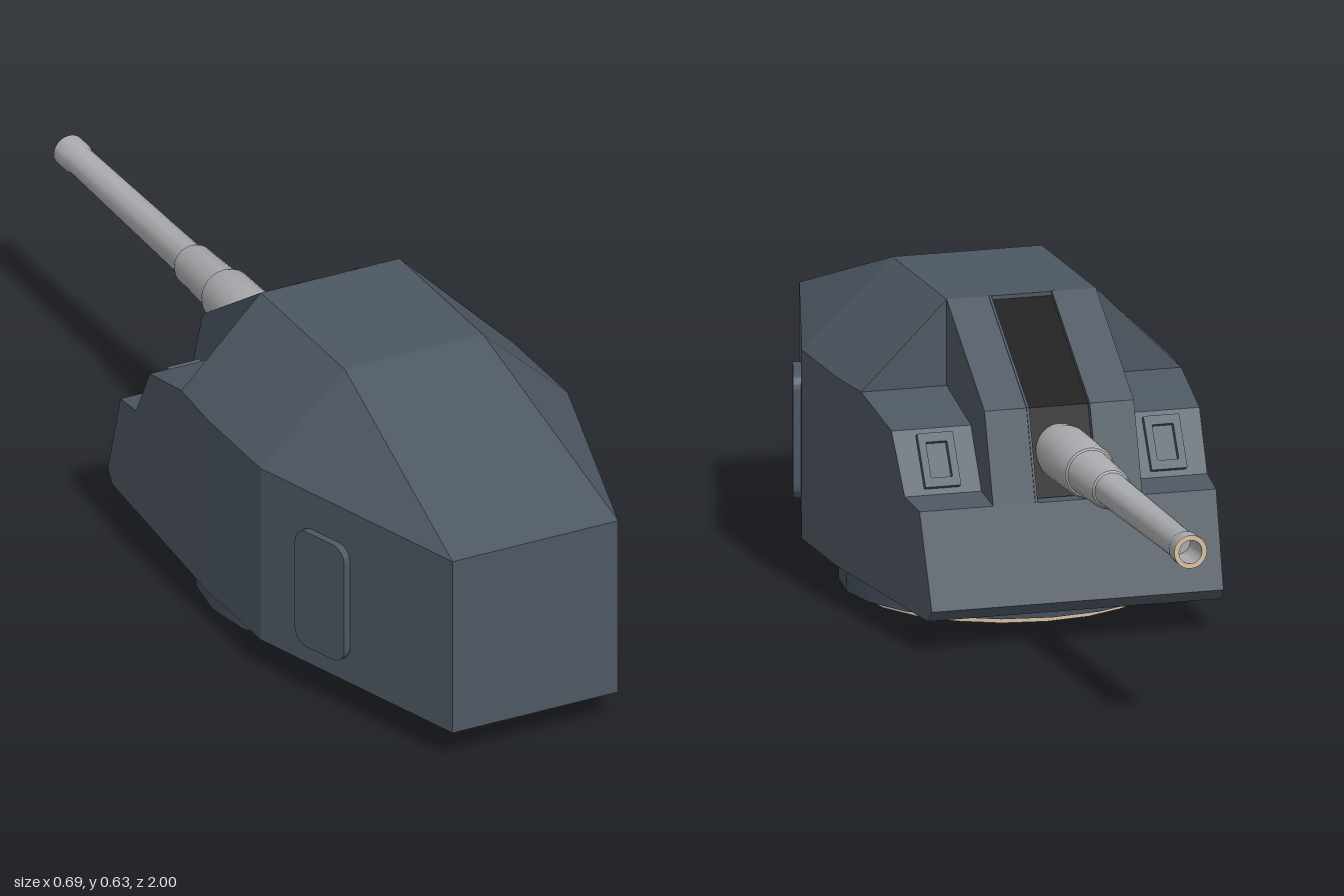
import * as THREE from 'three';
import { toCreasedNormals } from 'three/addons/utils/BufferGeometryUtils.js';

const mat = (name, color) => new THREE.MeshStandardMaterial({ name, color });

// Extrudes a [z, y] profile across x; xAt(w, z, y) gives x for w = 0 or 1.
function prism(profile, xAt) {
  const shape = new THREE.Shape(profile.map(([z, y]) => new THREE.Vector2(-z, y)));
  const geo = new THREE.ExtrudeGeometry(shape, { depth: 1, bevelEnabled: false });
  geo.rotateY(Math.PI / 2);
  const p = geo.attributes.position;
  for (let i = 0; i < p.count; i++) {
    p.setX(i, xAt(Math.round(p.getX(i)), p.getZ(i), p.getY(i)));
  }
  geo.computeVertexNormals();
  return geo;
}

// Half width of the gunhouse: plan outline below, narrow flat roof above.
function halfWidth(z, y) {
  if (y > 0.5) return 0.155;
  if (z > 0.48) return 0.343 - (z - 0.48) / 0.52 * 0.158;
  if (z > 0.25) return 0.343;
  return 0.343 - (0.25 - z) / 0.5 * 0.04;
}

function roundedRect(w, h, r) {
  const s = new THREE.Shape();
  const a = w / 2 - r, b = h / 2 - r;
  s.absarc(a, b, r, 0, Math.PI / 2);
  s.absarc(-a, b, r, Math.PI / 2, Math.PI);
  s.absarc(-a, -b, r, Math.PI, Math.PI * 1.5);
  s.absarc(a, -b, r, Math.PI * 1.5, Math.PI * 2);
  return s;
}

export function createModel() {
  const armour = mat('armour grey', 0x4d5762);
  const ringGrey = mat('ring grey', 0x454e5a);
  const steel = mat('barrel steel', 0xa9aaad);
  const black = mat('slot black', 0x060606);
  const tan = mat('tan metal', 0xdabfa3);
  tan.side = THREE.DoubleSide;

  const model = new THREE.Group();
  model.name = 'gunTurret';
  const add = (name, geo, material, parent = model) => {
    const mesh = new THREE.Mesh(geo, material);
    mesh.name = name;
    parent.add(mesh);
    return mesh;
  };

  // Gunhouse, in pieces that share the width rule
  const house = {
    gunSideHull: [[0.25, 0.066], [0.25, 0.452], [0.12, 0.452], [-0.04, 0.41],
      [-0.11, 0.292], [-0.188, 0.28], [-0.253, 0.09], [-0.23, 0.066]],
    middleHull: [[0.25, 0.066], [0.48, 0.066], [0.48, 0.452], [0.25, 0.452]],
    taperedHull: [[0.48, 0.066], [1, 0.066], [1, 0.452], [0.48, 0.452]],
    flatRoof: [[0.12, 0.452], [0.25, 0.452], [0.48, 0.452], [0.48, 0.628], [0.12, 0.628]],
    slopedRoof: [[0.48, 0.452], [1, 0.452], [0.48, 0.628]],
  };
  for (const [name, profile] of Object.entries(house)) {
    add(name, prism(profile, (w, z, y) => (w * 2 - 1) * halfWidth(z, y)), armour);
  }

  // Cheeks beside the gun slot, with a fine raised rim along the slot
  const cheek = [[0.12, 0.628], [-0.13, 0.46], [-0.188, 0.28], [0.12, 0.28]];
  const rim = [[0.12, 0.63], [-0.132, 0.461], [-0.19, 0.28], [0.12, 0.28]];
  for (const s of [-1, 1]) {
    const side = s > 0 ? 'left' : 'right';
    const lo = s > 0 ? 0 : 1;
    add(side + 'Cheek', prism(cheek, w => s * (0.065 + Math.abs(w - lo) * 0.09)), armour);
    add(side + 'SlotRim', prism(rim, w => s * (0.063 + Math.abs(w - lo) * 0.005)), armour);
  }
  add('gunSlot', prism([[0.119, 0.62], [-0.12, 0.457], [-0.174, 0.285], [0.119, 0.285]],
    w => (w * 2 - 1) * 0.064), black);

  // Framed sight ports on the steep shoulder faces, and side doors
  const frame = roundedRect(0.074, 0.112, 0.002);
  frame.holes.push(roundedRect(0.044, 0.074, 0.002));
  const frameGeo = new THREE.ExtrudeGeometry(frame, { depth: 0.024, bevelEnabled: false, curveSegments: 1 });
  frameGeo.translate(0, 0, -0.012);
  const doorGeo = toCreasedNormals(new THREE.ExtrudeGeometry(
    roundedRect(0.14, 0.258, 0.032), { depth: 0.026, bevelEnabled: false, curveSegments: 5 }), 0.6);
  const doorZ = 0.655;
  for (const s of [-1, 1]) {
    const side = s > 0 ? 'left' : 'right';
    const port = add(side + 'PortFrame', frameGeo, armour);
    port.position.set(s * 0.235, 0.351, -0.075);
    port.rotation.x = Math.atan2(0.07, 0.118);

    const door = add(side + 'Door', doorGeo, armour);
    const angle = s * Math.atan2(0.52, 0.158);
    door.rotation.y = angle;
    door.position.set(s * halfWidth(doorZ, 0) - Math.sin(angle) * 0.01, 0.242, doorZ - Math.cos(angle) * 0.01);
  }

  // Turning ring and the thin rim below it
  const ring = add('turningRing', toCreasedNormals(new THREE.CylinderGeometry(0.326, 0.326, 0.056, 20), 0.6), ringGrey);
  ring.position.set(0, 0.044, 0.24);
  const base = add('baseRim', new THREE.CylinderGeometry(0.293, 0.293, 0.018, 20, 1, true), tan);
  base.position.set(0, 0.009, 0.24);

  // Stepped barrel with a hollow muzzle
  const gun = new THREE.Group();
  gun.name = 'gun';
  gun.position.y = 0.372;
  model.add(gun);
  const lathe = pts => {
    const geo = new THREE.LatheGeometry(pts.map(([r, d]) => new THREE.Vector2(r, d)), 24);
    return toCreasedNormals(geo.rotateX(-Math.PI / 2), 0.5);
  };
  add('barrel', lathe([[0, 0.08], [0.046, 0.08], [0.054, 0.15], [0.057, 0.17], [0.055, 0.325], [0.051, 0.335],
    [0.047, 0.337], [0.043, 0.465], [0.039, 0.475], [0.035, 0.478], [0.03, 0.95], [0.034, 0.965], [0.034, 0.996]]), steel, gun);
  add('bore', lathe([[0.024, 1], [0.024, 0.92], [0, 0.92]]), steel, gun);
  add('muzzleRing', lathe([[0.034, 0.996], [0.034, 1], [0.024, 1]]), tan, gun);

  return model;
}
